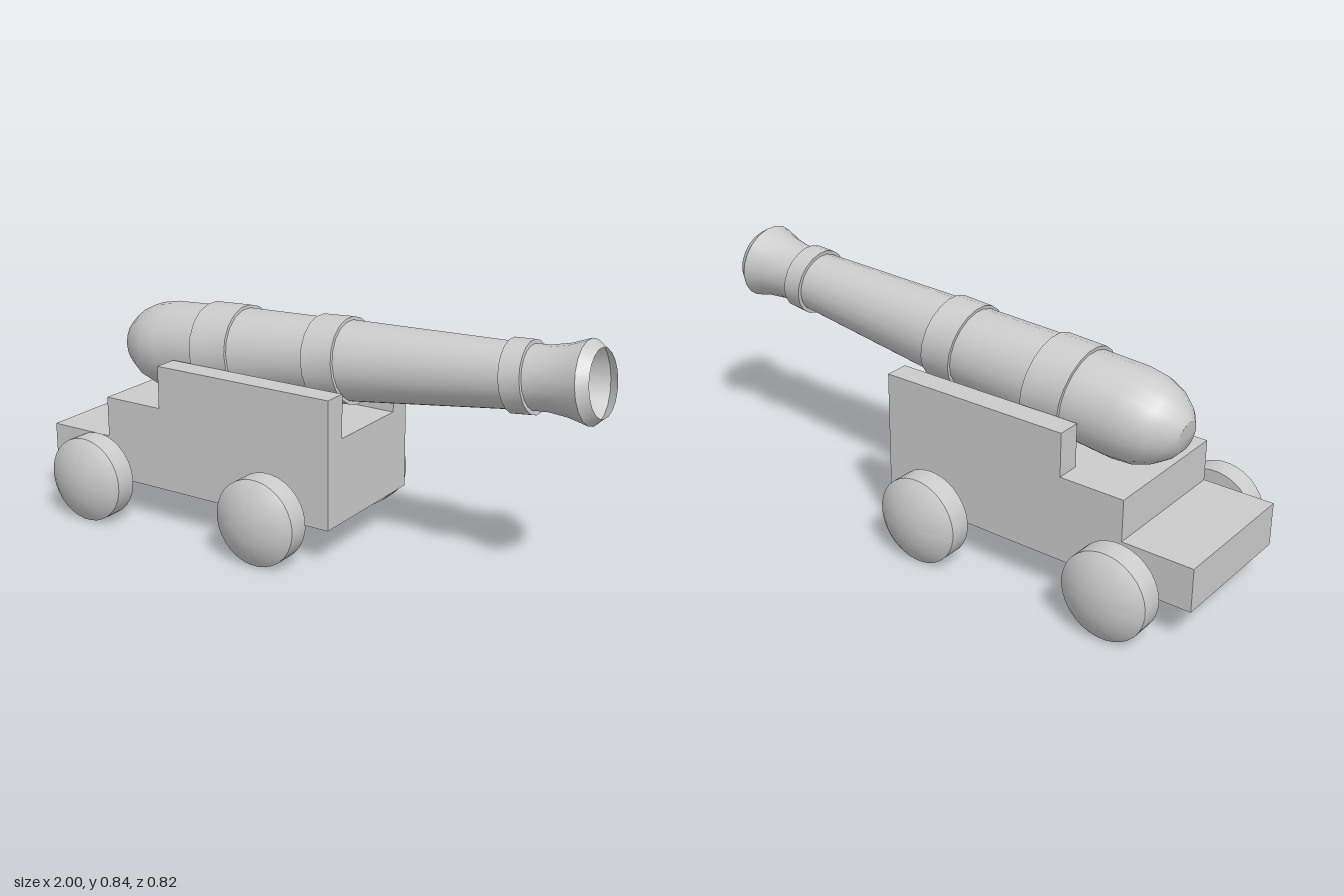
import * as THREE from 'three';
import { toCreasedNormals } from 'three/addons/utils/BufferGeometryUtils.js';

const material = new THREE.MeshStandardMaterial({ color: 0xcccccc });
const shell = new THREE.MeshStandardMaterial({ color: 0xcccccc, side: THREE.DoubleSide });

function addMesh(parent, name, geometry, mat = material) {
  const mesh = new THREE.Mesh(geometry, mat);
  mesh.name = name;
  parent.add(mesh);
  return mesh;
}

// Lathe from [radius, height] pairs, with sharp edges kept
function turned(pairs, sides, matrix) {
  const geometry = new THREE.LatheGeometry(pairs.map(([r, h]) => new THREE.Vector2(r, h)), sides, Math.PI / sides);
  if (matrix) geometry.applyMatrix4(matrix);
  return toCreasedNormals(geometry, 0.6);
}

export function createModel() {
  const model = new THREE.Group();
  model.name = 'cannon';

  // Stepped carriage body
  const carriage = new THREE.Group();
  carriage.name = 'carriage';
  model.add(carriage);
  const half = 0.244;
  const side = new THREE.Shape([
    [-1, 0.13], [0.166, 0.13], [0.166, 0.423], [-0.75, 0.423], [-0.75, 0.28], [-1, 0.28],
  ].map(([x, y]) => new THREE.Vector2(x, y)));
  const body = new THREE.ExtrudeGeometry(side, { depth: half * 2, bevelEnabled: false });
  addMesh(carriage, 'carriageBody', body.translate(0, 0, -half));

  // Raised cheeks on both sides of the barrel
  for (const s of [1, -1]) {
    const cheek = addMesh(carriage, s > 0 ? 'frontCheek' : 'backCheek', new THREE.BoxGeometry(0.686, 0.15, 0.084));
    cheek.position.set(-0.177, 0.498, s * 0.202);
  }

  // Axles with domed wheels
  const wheelGeometry = turned([
    [0, 0.284], [0.15, 0.284], [0.15, 0.36], [0.128, 0.376], [0.093, 0.393], [0.05, 0.406], [0, 0.408],
  ], 32);
  const axleGeometry = new THREE.CylinderGeometry(0.05, 0.05, 0.58, 16);
  for (const x of [-0.764, -0.044]) {
    const wheelSet = new THREE.Group();
    wheelSet.name = 'wheelSet';
    wheelSet.position.set(x, 0.15, 0);
    model.add(wheelSet);
    addMesh(wheelSet, 'axle', axleGeometry).rotation.x = Math.PI / 2;
    for (const s of [1, -1]) addMesh(wheelSet, 'wheel', wheelGeometry).rotation.x = s * Math.PI / 2;
  }

  // Thin hollow barrel, open at the muzzle: [radius, station along x]
  const profile = [
    [0, -0.815], [0.05, -0.813], [0.088, -0.785], [0.125, -0.735], [0.146, -0.68], [0.154, -0.61], [0.15, -0.445],
    [0.162, -0.445], [0.158, -0.3], [0.148, -0.3], [0.135, 0],
    [0.146, 0], [0.144, 0.115], [0.133, 0.115], [0.104, 0.695],
    [0.117, 0.695], [0.115, 0.765], [0.102, 0.765], [0.102, 0.82], [0.112, 0.885], [0.131, 0.95], [0.106, 0.984],
  ];
  // Lay the barrel along x, with its rise and the lean of its rings
  const lay = new THREE.Matrix4().makeBasis(
    new THREE.Vector3(-0.14, 1, 0), new THREE.Vector3(1, 0.085, 0.008), new THREE.Vector3(0, 0, -1),
  ).setPosition(0, 0.627, 0.005);
  addMesh(model, 'barrel', turned(profile, 20, lay), shell);

  return model;
}
